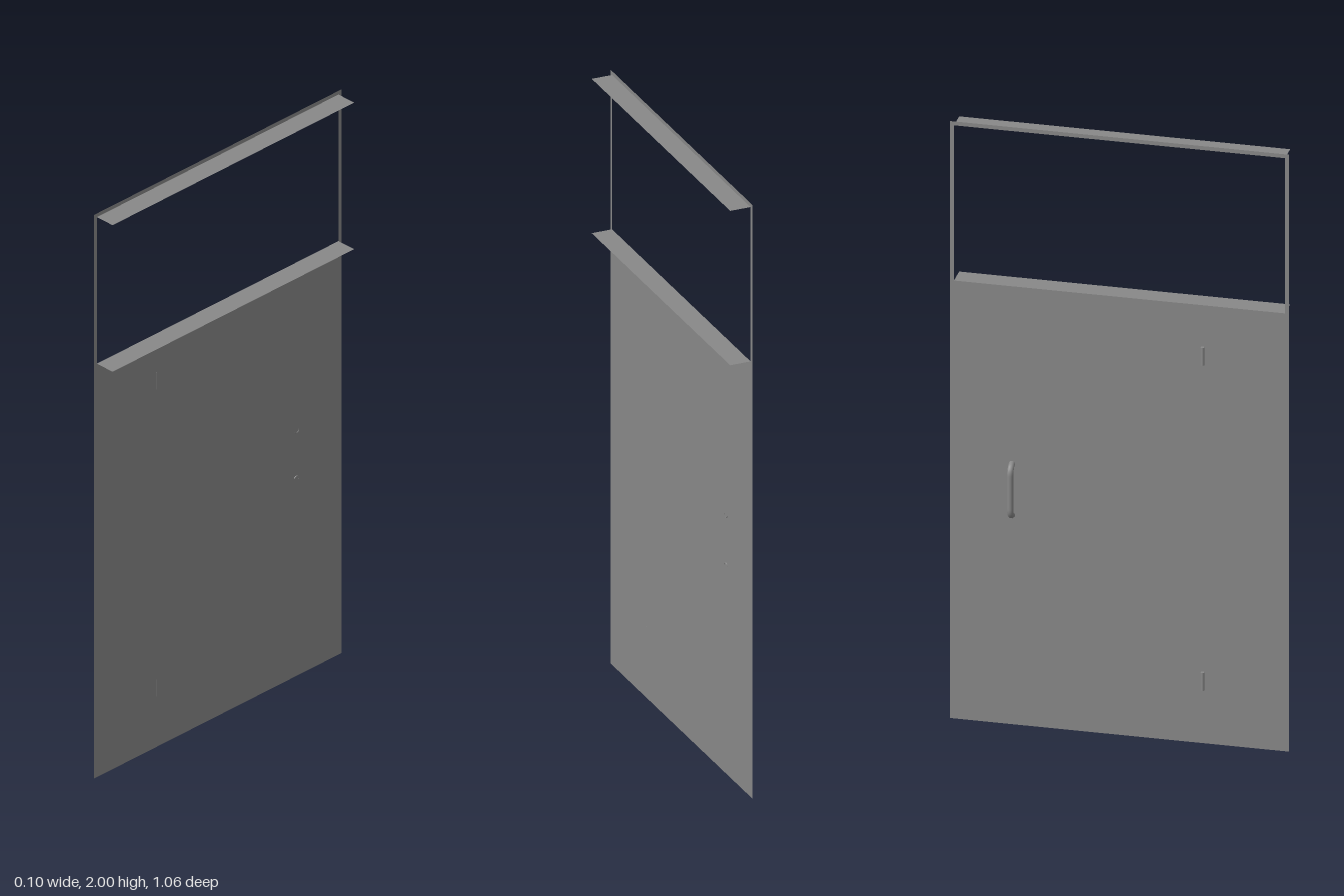
import * as THREE from 'three';

export function createModel() {
  const group = new THREE.Group();
  group.name = 'door';
  const sheet = new THREE.MeshStandardMaterial({ color: 0x888888, side: THREE.DoubleSide });
  sheet.name = 'grey metal';

  const add = (name, geometry, x, y, z) => {
    const mesh = new THREE.Mesh(geometry, sheet);
    mesh.name = name;
    mesh.position.set(x, y, z);
    group.add(mesh);
    return mesh;
  };

  const faceX = -0.017;              // plane of the door leaf
  const halfWidth = 0.532, halfWindow = 0.519;
  const sill = 1.467, lintel = 1.987;

  // Thin door leaf with a window opening, drawn in x/y and turned to face +x
  const leaf = new THREE.Shape([
    new THREE.Vector2(-halfWidth, 0), new THREE.Vector2(halfWidth, 0),
    new THREE.Vector2(halfWidth, 2), new THREE.Vector2(-halfWidth, 2),
  ]);
  leaf.holes.push(new THREE.Path([
    new THREE.Vector2(-halfWindow, sill), new THREE.Vector2(-halfWindow, lintel),
    new THREE.Vector2(halfWindow, lintel), new THREE.Vector2(halfWindow, sill),
  ]));
  add('doorLeaf', new THREE.ShapeGeometry(leaf).rotateY(Math.PI / 2), faceX, 0, 0);

  // Flat ledges at the bottom and top of the window
  const depth = 0.068;
  for (const [name, y] of [['windowSill', sill], ['windowLintel', lintel]]) {
    add(name, new THREE.PlaneGeometry(depth, 2 * halfWindow).rotateX(-Math.PI / 2),
      faceX + depth / 2, y, 0);
  }

  // Bent grab handle
  const p = (x, y) => new THREE.Vector3(x, y, 0);
  const path = new THREE.CurvePath();
  path.add(new THREE.QuadraticBezierCurve3(p(0.001, 0.086), p(-0.024, 0.081), p(-0.024, 0.055)));
  path.add(new THREE.LineCurve3(p(-0.024, 0.055), p(-0.024, -0.055)));
  path.add(new THREE.QuadraticBezierCurve3(p(-0.024, -0.055), p(-0.024, -0.081), p(0.001, -0.086)));
  add('handle', new THREE.TubeGeometry(path, 32, 0.01, 10), faceX, 0.787, -0.337);

  // Hinge pins
  for (const y of [0.21, 1.299]) {
    add('hinge', new THREE.CylinderGeometry(0.006, 0.006, 0.06, 12), faceX - 0.0055, y, 0.262);
  }

  return group;
}
